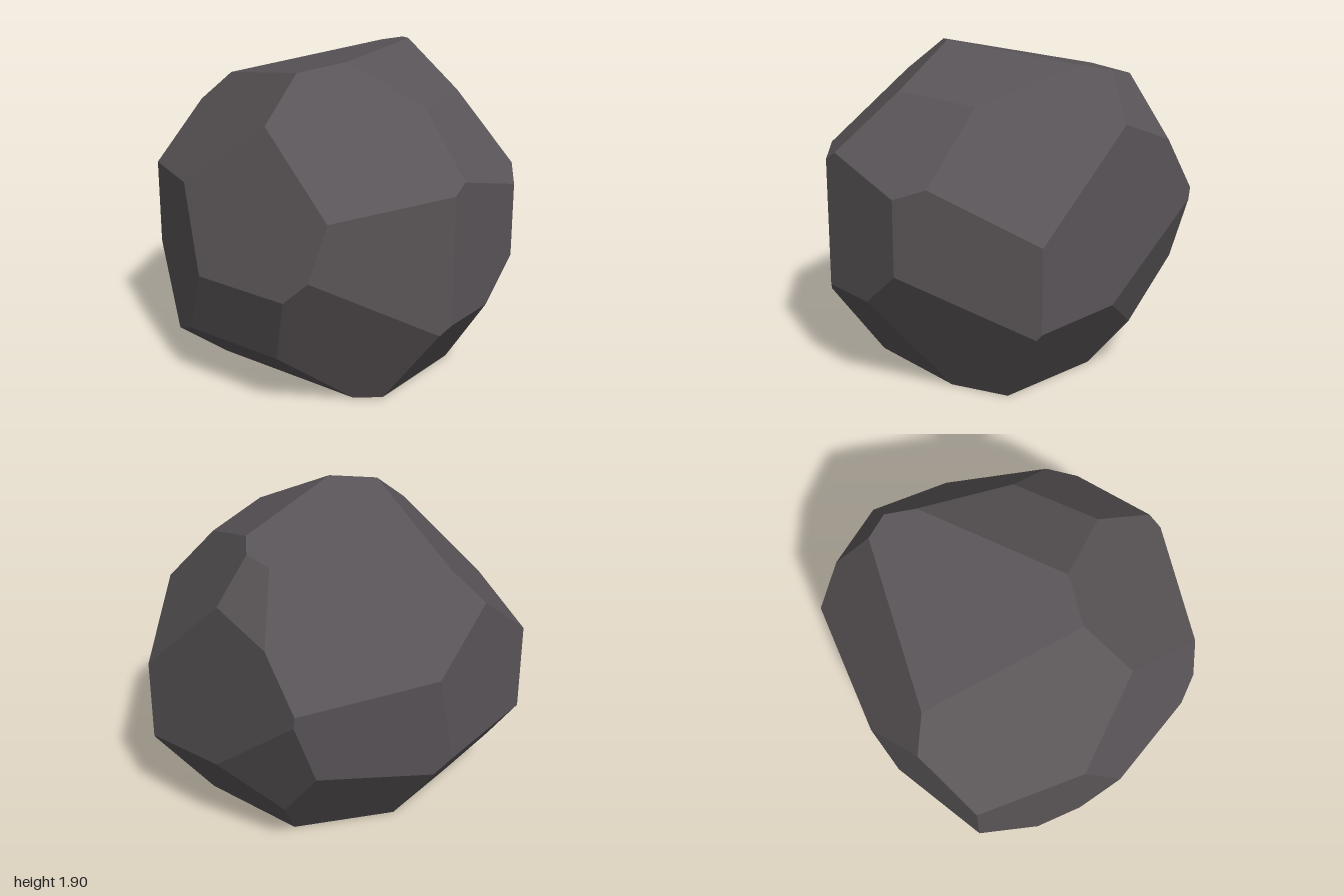
import * as THREE from 'three';

// Flat cuts that chisel the boulder: outward direction (x, y, z), then its limit
const CUTS = [
  // block sides and base
  [1, 0, 0, 1], [-1, 0, 0, 1], [0, 0, -1, 1], [0, -1, 0, 0],
  // crown
  [-0.234, 1, 0.008, 1.854], [0.191, 0.427, -0.062, 0.837],
  [0.191, 0.186, -0.053, 0.433], [0.36, 0.54, 0.339, 1.162],
  [-0.235, 0.395, 0.307, 0.859], [-0.366, 0.236, -0.201, 0.6905],
  [-0.238, 0.595, -0.994, 1.944], [0.138, 0.147, -0.174, 0.395],
  // front
  [0, 0.272, 1, 1.197], [0, -0.286, 1, 0.772], [0, -1.176, 1, 0.47],
  [-0.6, 0, 1, 1.13], [0.58, 0, 0.42, 0.702], [0.25, -0.1785, 0.3, 0.2555],
  // lower flanks and back
  [1, -0.745, 0, 0.59], [0.67, 0, -0.47, 0.825], [0.204, -0.111, -0.094, 0.1495],
  [-1.49, -1.07, 0.1, 0.847], [-0.413, -0.053, -0.209, 0.4057],
  [-0.265, -0.234, -0.182, 0.17], [-0.0784, -0.096, -0.268, 0.2155],
  [-0.055, -1, -1.42, 0.87],
];

// Point shared by three planes, or null when they do not meet
function meet(a, b, c) {
  const bc = b.n.clone().cross(c.n);
  const det = a.n.dot(bc);
  if (Math.abs(det) < 1e-4) return null;
  return bc.multiplyScalar(a.d)
    .addScaledVector(c.n.clone().cross(a.n), b.d)
    .addScaledVector(a.n.clone().cross(b.n), c.d)
    .divideScalar(det);
}

// Solid left inside all cuts, one flat polygon per cut
function chiselledGeometry(cuts) {
  const planes = cuts.map(([x, y, z, d]) => {
    const n = new THREE.Vector3(x, y, z);
    const len = n.length();
    return { n: n.divideScalar(len), d: d / len, corners: [] };
  });

  for (let i = 0; i < planes.length; i++)
    for (let j = i + 1; j < planes.length; j++)
      for (let k = j + 1; k < planes.length; k++) {
        const trio = [planes[i], planes[j], planes[k]];
        const p = meet(...trio);
        if (p && planes.every((q) => q.n.dot(p) <= q.d + 1e-6))
          trio.forEach((q) => q.corners.push(p));
      }

  const positions = [];
  for (const { n, corners } of planes) {
    if (corners.length < 3) continue;
    // order the corners counter-clockwise about the face centre
    const centre = new THREE.Vector3();
    corners.forEach((p) => centre.addScaledVector(p, 1 / corners.length));
    const u = corners[0].clone().sub(centre).normalize();
    const v = n.clone().cross(u);
    const angle = (p) => {
      const r = p.clone().sub(centre);
      return Math.atan2(r.dot(v), r.dot(u));
    };
    const ring = [...corners].sort((p, q) => angle(p) - angle(q));
    for (let i = 1; i < ring.length - 1; i++)
      for (const p of [ring[0], ring[i], ring[i + 1]]) positions.push(p.x, p.y, p.z);
  }

  const geometry = new THREE.BufferGeometry();
  geometry.setAttribute('position', new THREE.Float32BufferAttribute(positions, 3));
  geometry.computeVertexNormals();
  return geometry;
}

export function createModel() {
  const stone = new THREE.MeshStandardMaterial({ color: 0x5a5558 });
  stone.name = 'darkStone';
  stone.flatShading = true;

  const boulder = new THREE.Mesh(chiselledGeometry(CUTS), stone);
  boulder.name = 'boulder';

  const model = new THREE.Group();
  model.name = 'rock';
  model.add(boulder);
  return model;
}
